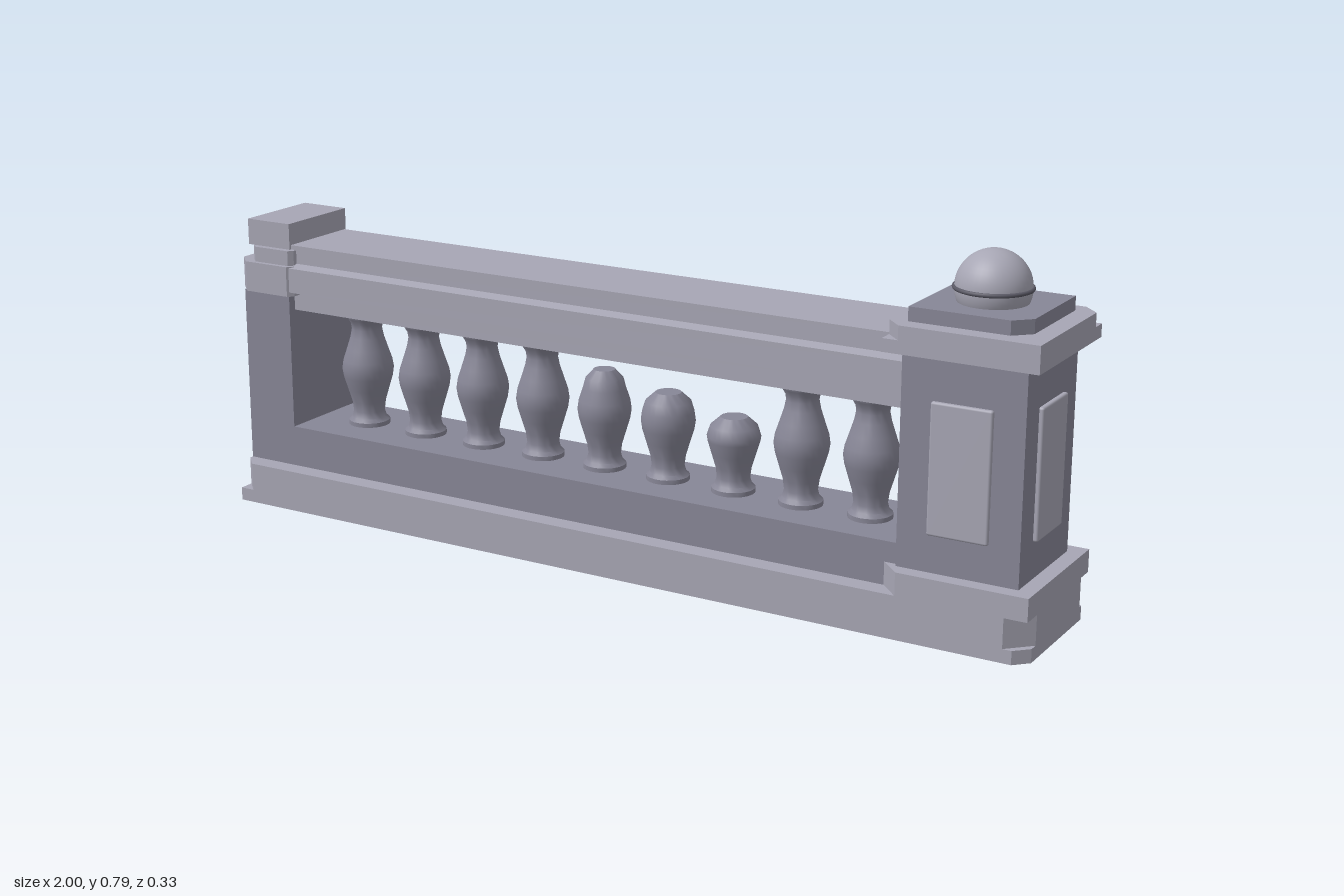
import * as THREE from 'three';
import { toCreasedNormals } from 'three/addons/utils/BufferGeometryUtils.js';
import { RoundedBoxGeometry } from 'three/addons/geometries/RoundedBoxGeometry.js';

const lightStone = new THREE.MeshStandardMaterial({ color: 0xa7a6b4 });
const darkStone = new THREE.MeshStandardMaterial({ color: 0x878696 });
const ringStone = new THREE.MeshStandardMaterial({ color: 0x5a5965 });
const POST_X = 0.8325;

export function createModel() {
  const root = new THREE.Group();

  function add(name, material, geometry, x = 0, y = 0, z = 0) {
    const mesh = new THREE.Mesh(geometry, material);
    mesh.name = name;
    mesh.position.set(x, y, z);
    root.add(mesh);
  }

  // Stone slab with optional broken corners: [front x0, front x1, back x1, back x0]
  function slab(name, material, x0, x1, y0, y1, halfZ, cuts = [0, 0, 0, 0]) {
    const corners = [[x0, -halfZ, 0, 1], [x1, -halfZ, -1, 0], [x1, halfZ, 0, -1], [x0, halfZ, 1, 0]];
    const pts = [];
    corners.forEach(([x, y, dx, dy], i) => {
      const c = cuts[i];
      if (!c) return pts.push(new THREE.Vector2(x, y));
      // one point back along the incoming edge, one along the outgoing edge
      pts.push(new THREE.Vector2(x + dx * c, y + dy * c));
      pts.push(new THREE.Vector2(x + dy * c, y - dx * c));
    });
    const g = new THREE.ExtrudeGeometry(new THREE.Shape(pts), { depth: y1 - y0, bevelEnabled: false });
    g.rotateX(-Math.PI / 2);
    add(name, material, g, 0, y0, 0);
  }

  // Lathe with sharp rims and smooth curves
  function turned(points, segments) {
    const v = points.map(([r, y]) => new THREE.Vector2(r, y));
    return toCreasedNormals(new THREE.LatheGeometry(v, segments), 0.7);
  }

  // Long footing, with chipped end corners, and the plinth on it
  slab('footing', lightStone, -0.98, 1, 0, 0.03, 0.165, [0, 0.03, 0.03, 0]);
  slab('footing', lightStone, -0.98, 1, 0.03, 0.095, 0.165, [0.035, 0.05, 0.04, 0]);
  slab('plinth', darkStone, -0.98, 0.75, 0.095, 0.19, 0.12);

  // Handrail: moulded section swept along x
  const half = [[0.1, 0.468], [0.1, 0.515], [0.127, 0.515], [0.127, 0.572], [0.1, 0.578], [0.1, 0.62]];
  const section = [...half, ...half.map(([z, y]) => [-z, y]).reverse()];
  const rail = new THREE.ExtrudeGeometry(
    new THREE.Shape(section.map(([z, y]) => new THREE.Vector2(z, y))),
    { depth: 1.6, bevelEnabled: false });
  rail.rotateY(Math.PI / 2);
  add('handrail', lightStone, rail, -0.87, 0, 0);

  // Broken half post at the left end of the front
  slab('endPost', darkStone, -0.98, -0.85, 0.19, 0.505, 0.12);
  slab('endPostCap', lightStone, -1, -0.835, 0.505, 0.575, 0.131, [0.035, 0.012, 0.012, 0]);
  slab('endPostCap', lightStone, -0.965, -0.84, 0.575, 0.61, 0.12, [0.02, 0.01, 0.01, 0]);
  slab('endPostTop', lightStone, -0.975, -0.855, 0.61, 0.67, 0.105);

  // Corner post
  slab('postBase', lightStone, 0.67, 1, 0.095, 0.145, 0.165, [0.045, 0, 0, 0]);
  slab('postShaft', darkStone, 0.7, 0.965, 0.145, 0.597, 0.131);
  slab('postCap', lightStone, 0.67, 1, 0.597, 0.625, 0.165);
  slab('postCap', lightStone, 0.67, 1, 0.625, 0.655, 0.165, [0.035, 0, 0.035, 0]);
  slab('postCapTop', darkStone, 0.707, 0.957, 0.655, 0.685, 0.125, [0, 0.035, 0, 0]);

  // Raised panels on the three open sides
  for (const s of [-1, 1]) {
    add('postPanel', lightStone, new RoundedBoxGeometry(0.132, 0.278, 0.024, 2, 0.005), POST_X, 0.364, s * 0.127);
  }
  add('postPanel', lightStone, new RoundedBoxGeometry(0.024, 0.278, 0.132, 2, 0.005), 0.963, 0.364, 0);

  // Ball finial with its ring
  add('finialBall', lightStone, new THREE.SphereGeometry(0.078, 40, 24), POST_X, 0.714, 0);
  const ring = new THREE.TorusGeometry(0.078, 0.0045, 8, 48);
  ring.rotateX(Math.PI / 2);
  add('finialRing', ringStone, ring, POST_X, 0.714, 0);

  // Balusters, some of them broken off at different heights
  const curve = [
    [0.048, 0.188], [0.048, 0.2], [0.04, 0.208], [0.036, 0.222], [0.039, 0.245], [0.048, 0.275],
    [0.057, 0.305], [0.06, 0.325], [0.057, 0.345], [0.048, 0.372], [0.039, 0.4], [0.035, 0.42],
    [0.037, 0.433], [0.044, 0.445], [0.048, 0.453], [0.048, 0.475],
  ];
  const radiusAt = (y) => {
    const i = curve.findIndex((p) => p[1] >= y);
    const [[r0, y0], [r1, y1]] = [curve[i - 1], curve[i]];
    return r0 + (r1 - r0) * (y - y0) / (y1 - y0);
  };
  const heights = [0.47, 0.47, 0.47, 0.452, 0.415, 0.387, 0.357, 0.456, 0.47];
  heights.forEach((h, i) => {
    const broken = h < 0.43;
    const shoulder = broken ? h - 0.042 : h;
    const pts = [[0, 0.188], ...curve.filter((p) => p[1] < shoulder - 0.001)];
    const r = radiusAt(shoulder);
    pts.push([r, shoulder]);
    if (broken) pts.push([r * 0.88, h - 0.02], [r * 0.5, h]);
    pts.push([0, h]);
    add(broken ? 'brokenBaluster' : 'baluster', darkStone, turned(pts, 28), -0.72 + i * 0.1625, 0, 0);
  });

  return root;
}
